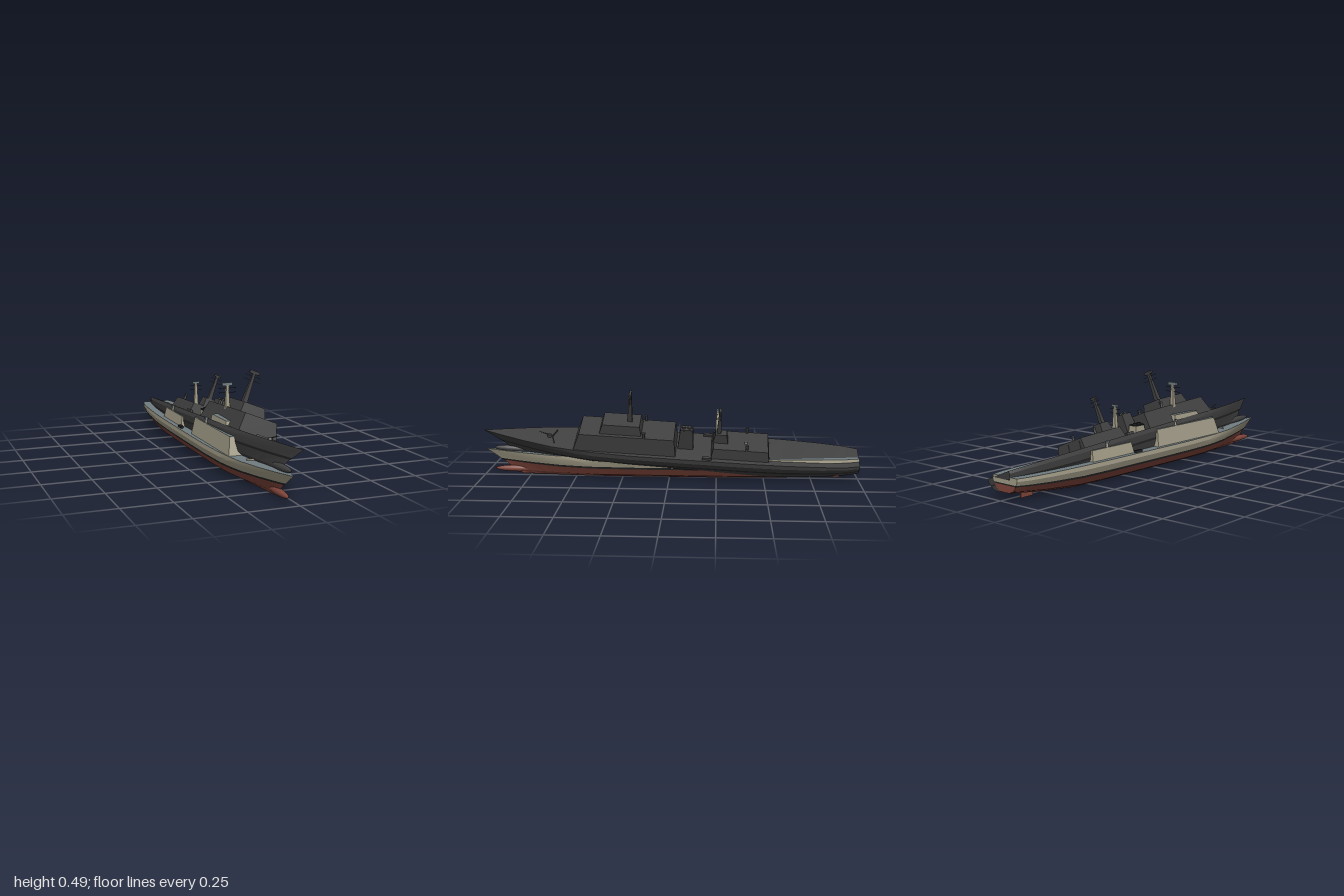
import * as THREE from 'three';
import { toCreasedNormals } from 'three/addons/utils/BufferGeometryUtils.js';

const mat = (name, color) => {
  const m = new THREE.MeshStandardMaterial({ color });
  m.name = name;
  return m;
};

// Hull stations: z, deck half width, keel height
const STATIONS = [
  [-1, 0.082, 0.045], [-0.93, 0.1, 0.036], [-0.8, 0.114, 0.02], [-0.6, 0.125, 0.003], [-0.4, 0.129, 0],
  [-0.1, 0.13, 0], [0.2, 0.129, 0], [0.4, 0.12, 0], [0.5, 0.111, 0], [0.62, 0.096, 0],
  [0.77, 0.063, 0], [0.9, 0.029, 0], [1, 0, 0],
];
// Hull rows from keel to deck: width factor, height, z where the row meets the stem
const ROWS = [
  [0, 0, 0.8], [0.32, 0, 0.8], [0.69, 0.02, 0.84], [0.87, 0.056, 0.9],
  [0.9, 0.067, 0.92], [1, 0.098, 0.965], [0.98, 0.12, 1],
];

function hullPoint(i, r, side) {
  const [z, w, keel] = STATIONS[i], [f, y, end] = ROWS[r];
  const s = Math.max(0, (z - 0.4) / 0.6);
  const flare = 1 - 0.35 * s * (1 - y / 0.12);
  const rise = (r > 2 ? 0.016 : 0) * s * s;
  return [side * w * f * flare, keel + y * (1 - keel / 0.12) + rise, z > 0.4 ? 0.4 + s * (end - 0.4) : z];
}

// Skin between two hull rows on both sides, closed at the transom
function hullSkin(r0, r1) {
  const pos = [];
  const quad = (a, b, c, d) => pos.push(...a, ...b, ...c, ...a, ...c, ...d);
  for (let r = r0; r < r1; r++) {
    for (let i = 0; i < STATIONS.length - 1; i++) {
      const p = (j, k, s) => hullPoint(j, k, s);
      quad(p(i, r, 1), p(i, r + 1, 1), p(i + 1, r + 1, 1), p(i + 1, r, 1));
      quad(p(i, r, -1), p(i + 1, r, -1), p(i + 1, r + 1, -1), p(i, r + 1, -1));
    }
    quad(hullPoint(0, r, -1), hullPoint(0, r + 1, -1), hullPoint(0, r + 1, 1), hullPoint(0, r, 1));
  }
  return toGeometry(pos);
}

function deckSkin() {
  const pos = [], top = ROWS.length - 1;
  for (let i = 0; i < STATIONS.length - 1; i++) {
    const a = hullPoint(i, top, -1), b = hullPoint(i + 1, top, -1);
    const c = hullPoint(i + 1, top, 1), d = hullPoint(i, top, 1);
    pos.push(...a, ...b, ...c, ...a, ...c, ...d);
  }
  return toGeometry(pos);
}

function toGeometry(pos) {
  const g = new THREE.BufferGeometry();
  g.setAttribute('position', new THREE.Float32BufferAttribute(pos, 3));
  g.computeVertexNormals();
  return toCreasedNormals(g, 0.4);
}

// Box whose top is drawn in by its own amounts at the sides, back and front
function taperedBox(w, y0, y1, zBack, zFront, inSide, inBack, inFront) {
  const g = new THREE.BoxGeometry(2, 2, 2), p = g.attributes.position;
  for (let i = 0; i < p.count; i++) {
    const up = p.getY(i) > 0;
    const x = Math.sign(p.getX(i)) * (w - (up ? inSide : 0));
    const z = p.getZ(i) > 0 ? zFront - (up ? inFront : 0) : zBack + (up ? inBack : 0);
    p.setXYZ(i, x, up ? y1 : y0, z);
  }
  g.computeVertexNormals();
  return g;
}

function createShip(c) {
  const ship = new THREE.Group();
  const add = (name, geo, m, x = 0, y = 0, z = 0) => {
    const mesh = new THREE.Mesh(geo, m);
    mesh.name = name;
    mesh.position.set(x, y, z);
    ship.add(mesh);
    return mesh;
  };
  const box = (name, m, w, h, d, x, y, z) => add(name, new THREE.BoxGeometry(w, h, d), m, x, y, z);
  const walls = [c.side, c.side, c.deck, c.side, c.side, c.side];

  // Hull
  add('lowerHull', hullSkin(0, 3), c.bottom);
  add('waterlineBand', hullSkin(3, 4), c.band);
  add('upperHull', hullSkin(4, 6), c.side);
  add('deck', deckSkin(), c.deck);
  add('bowBulb', new THREE.SphereGeometry(1, 20, 12), c.bottom, 0, 0.027, 0.83).scale.set(0.019, 0.018, 0.12);
  box('rudder', c.bottom, 0.008, 0.036, 0.075, 0, 0.02, -0.87);

  // Deckhouses
  add('mainHouse', taperedBox(0.106, 0.118, 0.21, -0.035, 0.505, 0.017, 0.012, 0.03), walls);
  add('bridge', taperedBox(0.07, 0.21, 0.26, 0.15, 0.37, 0.01, 0.01, 0.015), walls);
  add('aftHouse', taperedBox(0.1, 0.118, 0.174, -0.525, -0.22, 0.012, 0.008, 0.01), walls);
  add('aftMastBlock', taperedBox(0.032, 0.172, 0.222, -0.305, -0.225, 0.006, 0.008, 0.012), walls);
  for (const s of [-1, 1]) {
    const door = box('hangarDoor', c.fitting, 0.066, 0.04, 0.004, s * 0.042, 0.142, -0.522);
    door.rotation.x = 0.14;
  }

  // Funnel with twin exhausts
  add('funnel', taperedBox(0.03, 0.118, 0.23, -0.125, -0.042, 0.006, 0.006, 0.01), c.side);
  box('funnelCap', c.fitting, 0.046, 0.008, 0.064, 0, 0.232, -0.085);
  for (const z of [-0.1, -0.07])
    add('exhaust', new THREE.CylinderGeometry(0.011, 0.011, 0.01, 14), c.fitting, 0, 0.239, z);

  // Masts with yards and a radar bar
  const mast = (z, y0, y1, r, barW, yards) => {
    const h = y1 - y0;
    const g = new THREE.CylinderGeometry(r * 0.55, r * 1.1, h, 4).rotateY(Math.PI / 4);
    add('mast', toCreasedNormals(g, 0.4), c.side, 0, y0 + h / 2, z);
    box('radarBar', c.deck, barW, barW * 0.3, 0.012, 0, y1 + barW * 0.13, z);
    for (const [y, w] of yards) box('yard', c.fitting, w, 0.0025, 0.0025, 0, y, z);
  };
  mast(0.215, 0.258, 0.413, 0.017, 0.055, [[0.4, 0.095], [0.377, 0.095]]);
  mast(-0.255, 0.22, 0.35, 0.015, 0.038, [[0.338, 0.068], [0.315, 0.068]]);

  // Side mounts on the house roofs, and deck lockers
  for (const s of [-1, 1]) {
    for (const [x, y, z] of [[0.084, 0.21, 0.135], [0.083, 0.174, -0.405]]) {
      add('mountPost', new THREE.CylinderGeometry(0.006, 0.007, 0.024, 10), c.side, s * x, y + 0.012, z);
      box('mountHead', c.deck, 0.012, 0.012, 0.016, s * x, y + 0.026, z);
    }
    box('deckLocker', c.fitting, 0.016, 0.012, 0.05, s * 0.108, 0.126, -0.2);
    // Breakwater wings on the foredeck
    box('breakwater', c.side, 0.06, 0.008, 0.004, s * 0.029, 0.126, 0.62).rotation.y = s * 0.3;
  }

  // Foredeck gun
  add('gunBase', new THREE.CylinderGeometry(0.01, 0.013, 0.014, 12), c.side, 0, 0.13, 0.645);
  const barrel = add('gunBarrel', new THREE.CylinderGeometry(0.002, 0.003, 0.06, 8), c.fitting, 0, 0.142, 0.67);
  barrel.rotation.x = 1.3;
  return ship;
}

export function createModel() {
  const model = new THREE.Group();
  const beige = mat('beige paint', 0xa39d88), grey = mat('deck grey', 0x717d82);
  const red = mat('red underbody', 0x7e443a), black = mat('black trim', 0x242424);
  const dark = mat('charcoal', 0x3f3f3f);

  // Painted ship, standing upright
  const painted = createShip({ side: beige, deck: grey, bottom: red, band: black, fitting: black });
  painted.name = 'paintedShip';
  painted.position.set(-0.034, 0, 0);

  // Charcoal ship, heeled over and pitched up across the first
  const charcoal = createShip({ side: dark, deck: dark, bottom: dark, band: black, fitting: dark });
  charcoal.name = 'charcoalShip';
  charcoal.rotation.set(-0.058, 0, -0.384);
  charcoal.position.set(-0.033, 0.066, 0.004);

  model.add(painted, charcoal);
  return model;
}
